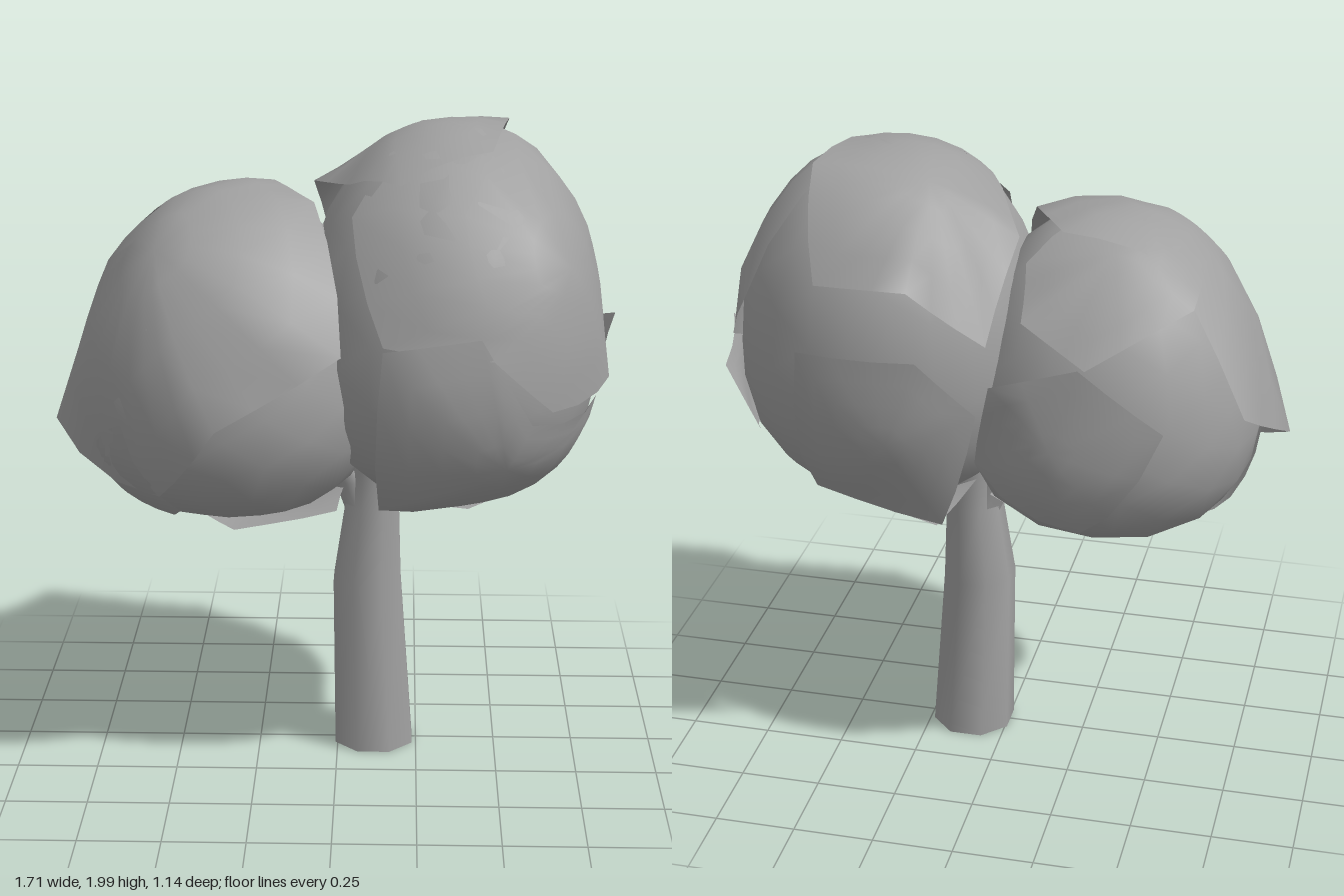
import * as THREE from 'three';
import { mergeVertices, toCreasedNormals } from 'three/addons/utils/BufferGeometryUtils.js';

const V = (a) => new THREE.Vector3(...a);
const gray = new THREE.MeshStandardMaterial({ color: 0xa0a0a0, side: THREE.DoubleSide });
gray.name = 'gray';

function add(parent, name, geometry) {
  const mesh = new THREE.Mesh(geometry, gray);
  mesh.name = name;
  parent.add(mesh);
  return mesh;
}

// Eight-sided limb through rings given as [x, y, z, radius], from bottom to top
function limb(rings) {
  let geo = new THREE.CylinderGeometry(1, 1, 1, 8, rings.length - 1);
  geo.rotateY(Math.PI / 8);
  const pos = geo.attributes.position;
  for (let i = 0; i < pos.count; i++) {
    const row = Math.round((pos.getY(i) + 0.5) * (rings.length - 1));
    const [x, y, z, r] = rings[row];
    pos.setXYZ(i, x + pos.getX(i) * r, y, z + pos.getZ(i) * r);
  }
  geo.deleteAttribute('normal');
  geo.deleteAttribute('uv');
  geo = mergeVertices(geo, 1e-4);
  return toCreasedNormals(geo, 0.9);
}

// Slightly boxy ellipsoid that narrows upward and leans in z
function crownForm(centerArr, radiiArr, taper, lean) {
  const center = V(centerArr), radii = V(radiiArr), P = 2.25;
  const reach = (d) => (Math.abs(d.x) ** P + Math.abs(d.y) ** P + Math.abs(d.z) ** P) ** (-1 / P);
  return {
    // Point on the form in a direction, lifted by a factor
    point(dir, lift) {
      const p = dir.clone().multiplyScalar(reach(dir) * lift);
      const width = 1 - taper * p.y;
      p.x *= width;
      p.z *= width;
      p.multiply(radii);
      p.z += lean * p.y;
      return p.add(center);
    },
    // Direction and lift of a point in space
    locate(c) {
      const p = V(c).sub(center);
      p.z -= lean * p.y;
      p.divide(radii);
      const width = 1 - taper * p.y;
      p.x /= width;
      p.z /= width;
      const length = p.length(), dir = p.normalize();
      return { dir, lift: length / reach(dir) };
    },
  };
}

function crownBody(form) {
  let geo = new THREE.IcosahedronGeometry(1, 3);
  geo.deleteAttribute('normal');
  geo.deleteAttribute('uv');
  geo = mergeVertices(geo, 1e-4);
  const pos = geo.attributes.position, v = new THREE.Vector3();
  for (let i = 0; i < pos.count; i++) {
    const p = form.point(v.fromBufferAttribute(pos, i).normalize(), 1);
    pos.setXYZ(i, p.x, p.y, p.z);
  }
  geo.computeVertexNormals();
  return geo;
}

// Curved leaf sheet that hugs the crown; corners further out flare away from it
function leafSheet(form, corners) {
  const RINGS = 4, STEPS = 3, LIFT = 1.015;
  const tips = corners.map((c) => form.locate(c));
  const mid = tips.reduce((s, t) => s.add(t.dir), new THREE.Vector3()).normalize();
  const rim = [];
  tips.forEach((a, i) => {
    const b = tips[(i + 1) % tips.length];
    for (let k = 0; k < STEPS; k++) {
      const t = k / STEPS;
      const flare = Math.max(0, a.lift - LIFT) * (1 - t) ** 2 + Math.max(0, b.lift - LIFT) * t ** 2;
      rim.push({ dir: a.dir.clone().lerp(b.dir, t).normalize(), flare });
    }
  });
  const n = rim.length, points = [], index = [];
  const put = (dir, lift) => points.push(...form.point(dir, lift).toArray());
  put(mid, LIFT);
  for (let j = 1; j <= RINGS; j++) {
    const t = j / RINGS;
    rim.forEach(({ dir, flare }) => put(mid.clone().lerp(dir, t).normalize(), LIFT + flare * t ** 3));
  }
  for (let i = 0; i < n; i++) {
    const k = (i + 1) % n;
    index.push(0, 1 + i, 1 + k);
    for (let j = 0; j < RINGS - 1; j++) {
      const a = 1 + j * n + i, b = 1 + j * n + k;
      index.push(a, a + n, b + n, a, b + n, b);
    }
  }
  // Face the sheet outward
  const p = (i) => V(points.slice(i * 3, i * 3 + 3));
  if (p(1).sub(p(0)).cross(p(2).sub(p(0))).dot(mid) < 0) index.reverse();
  const geo = new THREE.BufferGeometry();
  geo.setAttribute('position', new THREE.Float32BufferAttribute(points, 3));
  geo.setIndex(index);
  geo.computeVertexNormals();
  return geo;
}

// Round crown with its overlapping leaf sheets
function crown(name, form, sheets) {
  const group = new THREE.Group();
  group.name = name;
  add(group, 'crownBody', crownBody(form));
  for (const [part, corners] of Object.entries(sheets)) add(group, part, leafSheet(form, corners));
  return group;
}

export function createModel() {
  const model = new THREE.Group();
  model.name = 'tree';

  // Trunk and the fork that carries the crowns
  const trunk = new THREE.Group();
  trunk.name = 'trunk';
  add(trunk, 'stem', limb([
    [0.115, 0, 0, 0.132], [0.092, 0.55, 0, 0.114], [0.107, 0.8, 0, 0.09], [0.11, 0.95, 0, 0.085],
  ]));
  add(trunk, 'leftBranch', limb([[0.12, 0.78, 0, 0.07], [0.16, 0.88, 0, 0.065], [0.25, 1.05, 0, 0.05]]));
  add(trunk, 'rightBranch', limb([[0.09, 0.78, 0, 0.07], [0.05, 0.88, 0, 0.065], [-0.06, 1.05, 0, 0.05]]));
  model.add(trunk);

  // Taller crown
  model.add(crown('leftCrown', crownForm([0.345, 1.42, -0.02], [0.45, 0.56, 0.525], 0.09, -0.1), {
    topLeaves: [[0.16, 1.73, -0.57], [0.45, 1.7, -0.5], [0.52, 1.97, -0.24], [0.45, 1.9, 0.13],
      [0.2, 1.82, 0.23], [0.05, 1.8, 0.07], [-0.08, 1.78, -0.2], [-0.04, 1.54, -0.46]],
    upperFrontLeaves: [[0.14, 1.43, 0.48], [0.05, 1.75, 0.22], [0.45, 1.93, -0.2], [0.67, 1.62, -0.47],
      [0.8, 1.4, -0.22], [0.82, 1.25, 0.12], [0.6, 1.25, 0.38], [0.45, 1.4, 0.47]],
    lowerFrontLeaves: [[0.14, 1.43, 0.53], [0.42, 1.46, 0.49], [0.55, 1.22, 0.42], [0.78, 1.2, 0.15],
      [0.69, 1.0, 0.1], [0.42, 0.86, 0.12], [0.13, 0.91, 0.39]],
    sideLeaves: [[0.85, 1.4, -0.07], [0.8, 1.33, -0.3], [0.68, 1.15, -0.35], [0.76, 1.1, -0.05], [0.8, 1.25, 0.05]],
    backLeaves: [[0.5, 1.5, -0.52], [0.15, 1.5, -0.53], [0, 1.3, -0.42], [0.12, 0.9, -0.36], [0.5, 1.0, -0.38]],
    bottomLeaves: [[0.2, 0.87, 0.2], [0.4, 0.85, 0.2], [0.6, 0.95, 0], [0.45, 0.93, -0.28], [0.14, 0.89, -0.35], [0.08, 0.95, 0]],
  }));

  // Lower crown
  model.add(crown('rightCrown', crownForm([-0.32, 1.3, 0.03], [0.45, 0.5, 0.475], 0.17, 0), {
    frontLeaves: [[-0.07, 1.77, 0.08], [-0.2, 1.79, -0.16], [-0.5, 1.7, -0.15], [-0.77, 1.34, -0.35],
      [-0.86, 1.1, 0.1], [-0.5, 0.98, 0.38], [-0.34, 1.2, 0.57], [0.02, 1.4, 0.48]],
    topLeaves: [[-0.6, 1.62, -0.25], [-0.32, 1.48, -0.43], [-0.12, 1.58, -0.36], [-0.1, 1.7, -0.2],
      [-0.28, 1.81, 0.02], [-0.43, 1.78, 0.06], [-0.6, 1.68, -0.03]],
    sideLeaves: [[-0.76, 1.08, 0.15], [-0.62, 1.18, 0.42], [-0.45, 0.92, 0.35], [-0.5, 0.85, 0], [-0.71, 0.96, -0.1]],
    backLeaves: [[-0.55, 1.3, -0.42], [-0.3, 1.48, -0.43], [-0.04, 1.4, -0.43], [0.02, 1.1, -0.3], [-0.3, 0.93, -0.36]],
    bottomLeaves: [[-0.31, 0.79, 0.24], [0, 0.84, 0.2], [0.04, 0.87, -0.08], [-0.25, 0.82, -0.15], [-0.45, 0.83, 0.05]],
  }));
  return model;
}
